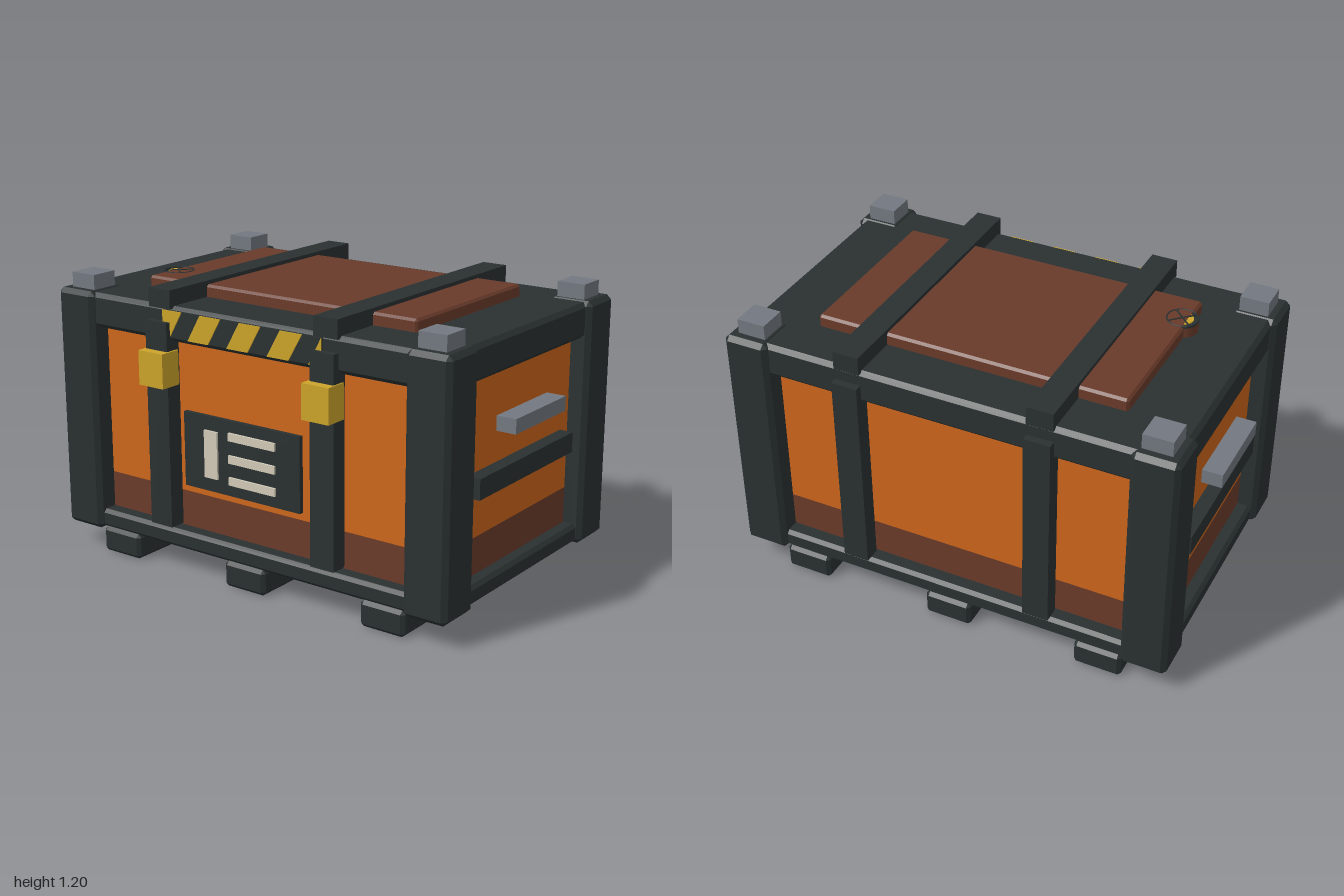
import * as THREE from 'three';
import { ConvexGeometry } from 'three/addons/geometries/ConvexGeometry.js';

const mat = (name, color) => {
  const m = new THREE.MeshStandardMaterial({ color });
  m.name = name;
  return m;
};

export function createModel() {
  const model = new THREE.Group();
  model.name = 'crate';
  const frame = mat('dark frame', 0x2a3131);
  const orange = mat('orange panel', 0xcd661b);
  const brown = mat('rust brown', 0x6a3b2a);
  const steel = mat('grey steel', 0x737981);
  const yellow = mat('yellow', 0xcca42a);
  const cream = mat('cream', 0xd3cbb9);

  const add = (name, geometry, material) => {
    const mesh = new THREE.Mesh(geometry, material);
    mesh.name = name;
    model.add(mesh);
    return mesh;
  };

  // box given by its x, y and z ranges, with optional chamfered edges
  function box(name, material, [x0, x1], [y0, y1], [z0, z1], bevel = 0) {
    const size = [x1 - x0, y1 - y0, z1 - z0];
    let geometry;
    if (bevel > 0) {
      const points = [];
      for (const sx of [-1, 1]) for (const sy of [-1, 1]) for (const sz of [-1, 1])
        for (let axis = 0; axis < 3; axis++) {
          // only the coordinate on this axis reaches the full size
          const p = [sx, sy, sz].map((s, i) => s * (size[i] / 2 - (i === axis ? 0 : bevel)));
          points.push(new THREE.Vector3(...p));
        }
      geometry = new ConvexGeometry(points);
    } else geometry = new THREE.BoxGeometry(...size);
    const mesh = add(name, geometry, material);
    mesh.position.set((x0 + x1) / 2, (y0 + y1) / 2, (z0 + z1) / 2);
    return mesh;
  }

  const zc = -0.018; // middle of the crate body
  const around = (c, half) => [c - half, c + half];
  const outward = (s, a, b) => (s > 0 ? [a, b] : [-b, -a]);
  const outwardZ = (s, a, b) => outward(s, a, b).map((v) => v + zc);

  // recessed body panels, base and lid
  box('lowerPanel', brown, [-0.89, 0.89], [0.15, 0.34], around(zc, 0.537));
  box('upperPanel', orange, [-0.89, 0.89], [0.34, 1.0], around(zc, 0.537));
  box('base', frame, [-0.95, 0.95], [0.105, 0.185], around(zc, 0.605), 0.015);
  box('lid', frame, [-0.95, 0.95], [0.99, 1.136], around(zc, 0.605), 0.018);
  box('lidPlate', brown, [-0.672, 0.67], [1.12, 1.187], [-0.407, 0.366], 0.01);

  // skids under the base
  for (const x of [-0.675, 0, 0.675])
    box('skid', frame, around(x, 0.103), [0, 0.11], around(zc, 0.613), 0.015);

  for (const sx of [-1, 1]) {
    // corner posts with steel caps, and straps
    for (const sz of [-1, 1]) {
      box('cornerPost', frame, outward(sx, 0.776, 0.972), [0.098, 1.141], outwardZ(sz, 0.427, 0.628), 0.02);
      box('cornerCap', steel, outward(sx, 0.803, 0.926), [1.13, 1.204], outwardZ(sz, 0.457, 0.58));
      box('strap', frame, outward(sx, 0.357, 0.469), [0.205, 1.073], outwardZ(sz, 0.566, 0.638));
    }
    // lid bands, clasps, side handles and side bars
    box('lidBand', frame, outward(sx, 0.357, 0.469), [1.125, 1.203], around(zc, 0.613));
    box('clasp', yellow, outward(sx, 0.348, 0.475), [0.81, 0.955], [0.562, 0.66]);
    box('sideHandle', steel, outward(sx, 0.914, 1.0), [0.75, 0.811], [-0.213, 0.177]);
    box('sideBar', frame, outward(sx, 0.88, 0.95), [0.523, 0.608], [-0.382, 0.346]);
  }

  // label plate with raised strips
  box('labelPlate', frame, [-0.295, 0.291], [0.4, 0.715], [0.577, 0.597]);
  box('labelMark', cream, [-0.185, -0.118], [0.458, 0.658], [0.597, 0.606]);
  for (const y of [0.465, 0.557, 0.651])
    box('labelLine', cream, [-0.06, 0.173], around(y, 0.017), [0.597, 0.606]);

  // hazard strip on the lid front, slanted stripes clipped to the strip ends
  const end = 0.395, low = 1.01, high = 1.122, slant = 0.065;
  box('hazardStrip', frame, [-end, end], [low, high], [0.57, 0.594]);
  const clip = (x) => Math.max(-end, Math.min(end, x));
  for (let i = 0; i < 5; i++) {
    const x = -0.4 + i * 0.2; // upper left corner
    const shape = new THREE.Shape();
    shape.moveTo(clip(x - slant), low);
    shape.lineTo(clip(x - slant + 0.105), low);
    shape.lineTo(clip(x + 0.105), high);
    shape.lineTo(clip(x), high);
    const stripe = new THREE.ExtrudeGeometry(shape, { depth: 0.005, bevelEnabled: false });
    add('hazardStripe', stripe, yellow).position.z = 0.594;
  }

  // round valve let into the edge of the lid plate
  const vx = -0.643, vz = 0.212;
  const disc = (name, material, radius, y0, y1) =>
    add(name, new THREE.CylinderGeometry(radius, radius, y1 - y0, 24), material)
      .position.set(vx, (y0 + y1) / 2, vz);
  disc('valveBody', brown, 0.067, 1.13, 1.178);
  disc('valveRim', frame, 0.067, 1.178, 1.182);
  disc('valveFace', yellow, 0.046, 1.182, 1.186);

  // thin wheel with crossed spokes on the valve
  const ring = add('valveRing', new THREE.TorusGeometry(0.064, 0.004, 6, 24), frame);
  ring.rotation.x = Math.PI / 2;
  ring.position.set(vx, 1.186, vz);
  for (const turn of [-1, 1])
    box('valveSpoke', frame, around(vx, 0.063), [1.184, 1.19], around(vz, 0.003))
      .rotation.y = turn * Math.PI / 4;

  return model;
}
